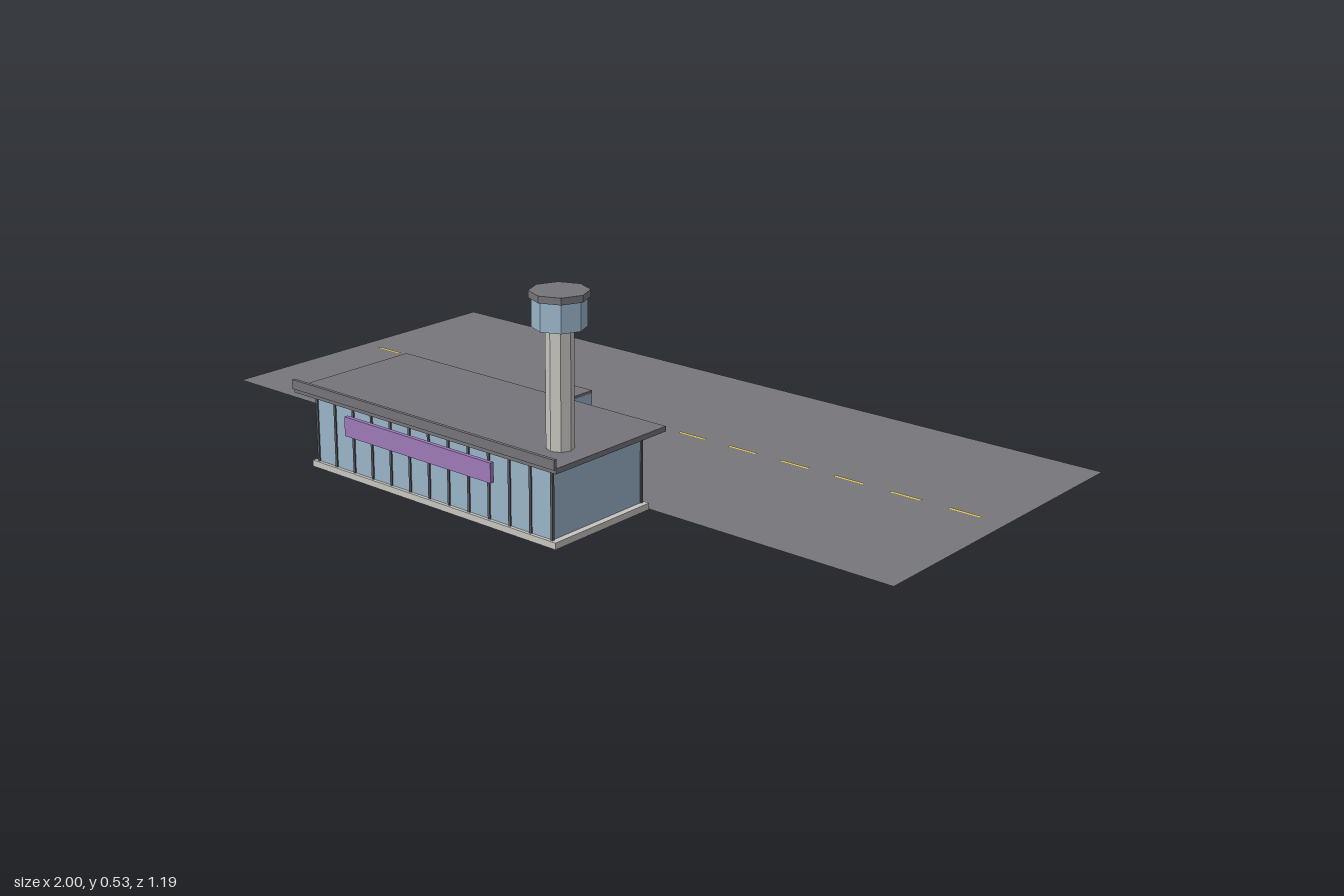
import * as THREE from 'three';

const mat = (name, color, extra = {}) => {
  const m = new THREE.MeshStandardMaterial({ color, ...extra });
  m.name = name;
  return m;
};

export function createModel() {
  const asphalt = mat('asphalt', 0x77767b, { side: THREE.DoubleSide });
  const roofing = mat('roofing', 0x75747a);
  const glass = mat('glass', 0x9ab5c9);
  const concrete = mat('concrete', 0xc8c5bf);
  const darkMetal = mat('dark metal', 0x5a5a60);
  const purple = mat('sign purple', 0x9d7ab8);
  const yellow = mat('marking yellow', 0xdcc45c, { side: THREE.DoubleSide });

  const model = new THREE.Group();
  model.name = 'airportTerminal';
  const group = (name) => {
    const g = new THREE.Group();
    g.name = name;
    model.add(g);
    return g;
  };
  const add = (parent, name, geometry, material, x, y, z) => {
    const mesh = new THREE.Mesh(geometry, material);
    mesh.name = name;
    mesh.position.set(x, y, z);
    parent.add(mesh);
    return mesh;
  };
  // Box given by its extents along each axis
  const box = (parent, name, material, [x0, x1], [y0, y1], [z0, z1]) =>
    add(parent, name, new THREE.BoxGeometry(x1 - x0, y1 - y0, z1 - z0), material,
      (x0 + x1) / 2, (y0 + y1) / 2, (z0 + z1) / 2);
  // Flat sheet facing up
  const sheet = (parent, name, material, w, d, x, y, z) =>
    add(parent, name, new THREE.PlaneGeometry(w, d).rotateX(-Math.PI / 2), material, x, y, z);
  // Upright eight-sided prism
  const prism = (parent, name, material, r, y0, y1, x, z) => {
    const g = new THREE.CylinderGeometry(r, r, y1 - y0, 8).toNonIndexed();
    g.computeVertexNormals();
    return add(parent, name, g, material, x, (y0 + y1) / 2, z);
  };

  // Apron with dashed centre line and lead-in line
  const apron = group('apron');
  sheet(apron, 'apronSurface', asphalt, 2, 0.852, 0, 0, -0.168);
  for (let i = -6; i <= 6; i++) {
    sheet(apron, 'centreDash', yellow, 0.08, 0.01, i * 0.15, 0.002, -0.17);
  }
  sheet(apron, 'leadInLine', yellow, 0.008, 0.34, 0, 0.002, 0.08);

  // Terminal hall
  const hall = group('terminalHall');
  box(hall, 'plinth', concrete, [-0.375, 0.375], [0, 0.015], [0.26, 0.56]);
  box(hall, 'glassWalls', glass, [-0.36, 0.36], [0.015, 0.178], [0.272, 0.552]);
  box(hall, 'roofSlab', roofing, [-0.4, 0.4], [0.178, 0.19], [0.236, 0.584]);
  box(hall, 'frontFascia', roofing, [-0.4, 0.4], [0.188, 0.21], [0.582, 0.59]);
  box(hall, 'signBand', purple, [-0.224, 0.224], [0.117, 0.162], [0.583, 0.593]);
  for (const z of [0.27, 0.552]) {
    for (let i = 0; i <= 12; i++) {
      const x = -0.36 + i * 0.06;
      box(hall, 'mullion', darkMetal, [x - 0.003, x + 0.003], [0.015, 0.178], [z - 0.003, z + 0.003]);
    }
  }

  // Control tower
  const tower = group('controlTower');
  const tx = 0.322, tz = 0.485;
  prism(tower, 'towerShaft', concrete, 0.03, 0.19, 0.452, tx, tz);
  prism(tower, 'towerCab', glass, 0.058, 0.452, 0.514, tx, tz);
  prism(tower, 'cabRoof', roofing, 0.064, 0.514, 0.529, tx, tz);

  // Boarding bridge
  const bridge = group('boardingBridge');
  const bx = [-0.035, 0.035], bz = [0.061, 0.26];
  box(bridge, 'bridgeFloor', concrete, bx, [0.077, 0.088], bz);
  box(bridge, 'bridgeGlass', glass, bx, [0.088, 0.141], bz);
  box(bridge, 'bridgeRoof', roofing, bx, [0.141, 0.148], bz);
  prism(bridge, 'bridgeLeg', darkMetal, 0.009, 0, 0.077, 0, 0.111);

  return model;
}
